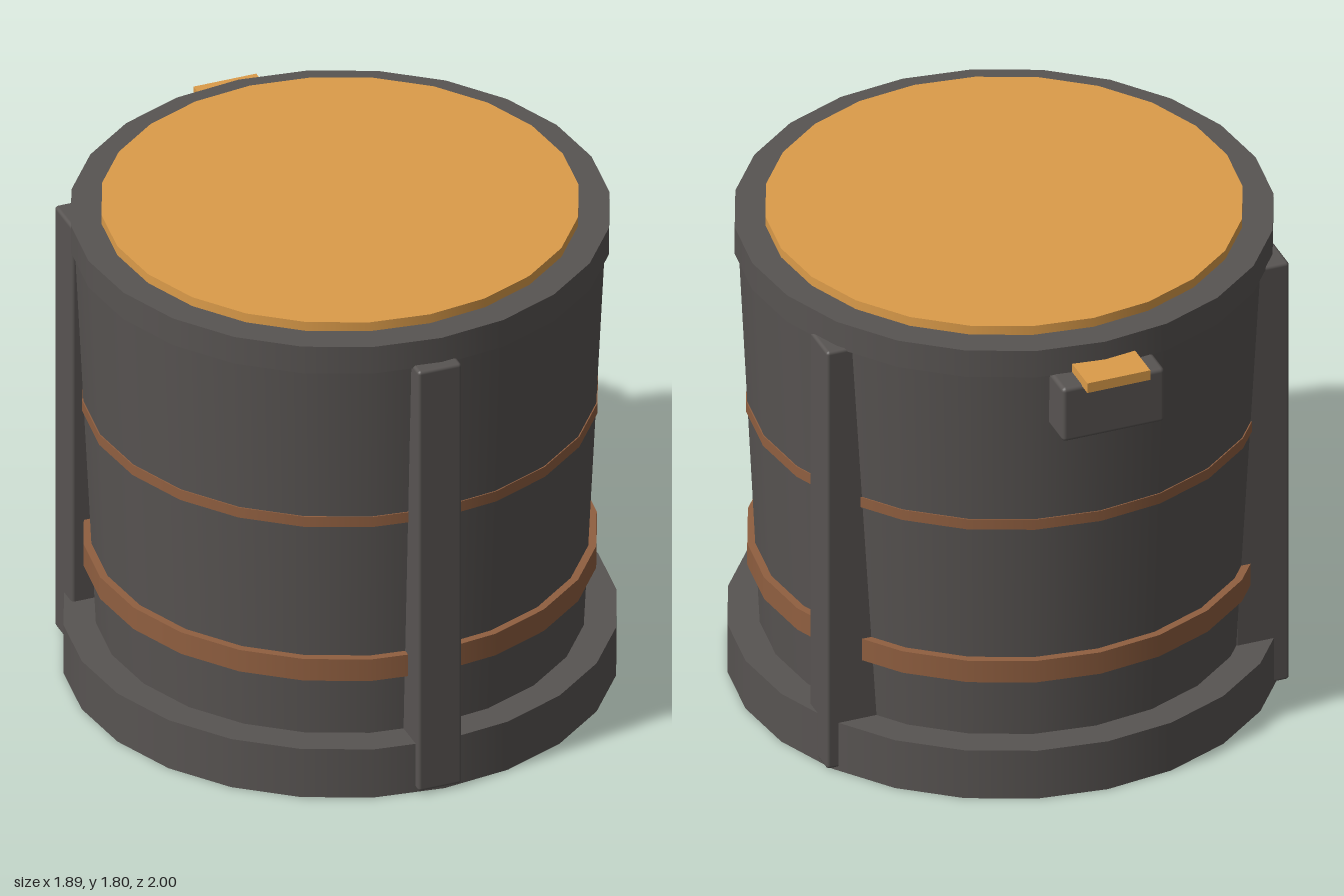
import * as THREE from 'three';
import { RoundedBoxGeometry } from 'three/addons/geometries/RoundedBoxGeometry.js';

const AXIS_Z = 0.043; // the barrel sits slightly forward because of the rear latch
const SIDES = 24;

export function createModel() {
  const model = new THREE.Group();
  model.name = 'barrel';

  const material = (name, color) => {
    const m = new THREE.MeshStandardMaterial({ color });
    m.name = name;
    return m;
  };
  const grey = material('dark grey', 0x585452);
  const brown = material('brown', 0x905f40);
  const gold = material('gold', 0xdc9c4a);

  const add = (name, geometry, mat, x, y, z) => {
    const mesh = new THREE.Mesh(geometry, mat);
    mesh.name = name;
    mesh.position.set(x, y, z);
    model.add(mesh);
  };

  // Round section between two heights, on the barrel axis
  const drum = (name, mat, y0, y1, r0, r1 = r0) =>
    add(name, new THREE.CylinderGeometry(r1, r0, y1 - y0, SIDES), mat, 0, (y0 + y1) / 2, AXIS_Z);

  // Box given by its limits, with optional softened edges
  const block = (name, mat, [x0, x1], [y0, y1], [z0, z1], bevel = 0) => {
    const size = [x1 - x0, y1 - y0, z1 - z0];
    const geometry = bevel
      ? new RoundedBoxGeometry(...size, 2, bevel)
      : new THREE.BoxGeometry(...size);
    add(name, geometry, mat, (x0 + x1) / 2, (y0 + y1) / 2, (z0 + z1) / 2);
  };

  // Barrel
  drum('base', grey, 0, 0.19, 0.945);
  drum('body', grey, 0.18, 1.67, 0.834, 0.906);
  drum('lowerHoop', brown, 0.42, 0.505, 0.877);
  drum('upperHoop', brown, 1.03, 1.07, 0.881);
  drum('rim', grey, 1.66, 1.765, 0.92);
  drum('lid', gold, 1.755, 1.8, 0.815);

  // Three upright struts
  const strutY = [0.012, 1.67];
  block('frontStrut', grey, [-0.1, 0.06], strutY, [0.84, 1.0], 0.012);
  block('leftStrut', grey, [0.64, 0.845], strutY, [-0.45, -0.29], 0.012);
  block('rightStrut', grey, [-0.83, -0.63], strutY, [-0.49, -0.33], 0.012);

  // Rear latch
  block('latchBlock', grey, [-0.187, 0.187], [1.45, 1.662], [-0.957, -0.8], 0.015);
  block('latchTab', gold, [-0.115, 0.115], [1.657, 1.695], [-1.0, -0.84]);

  return model;
}
